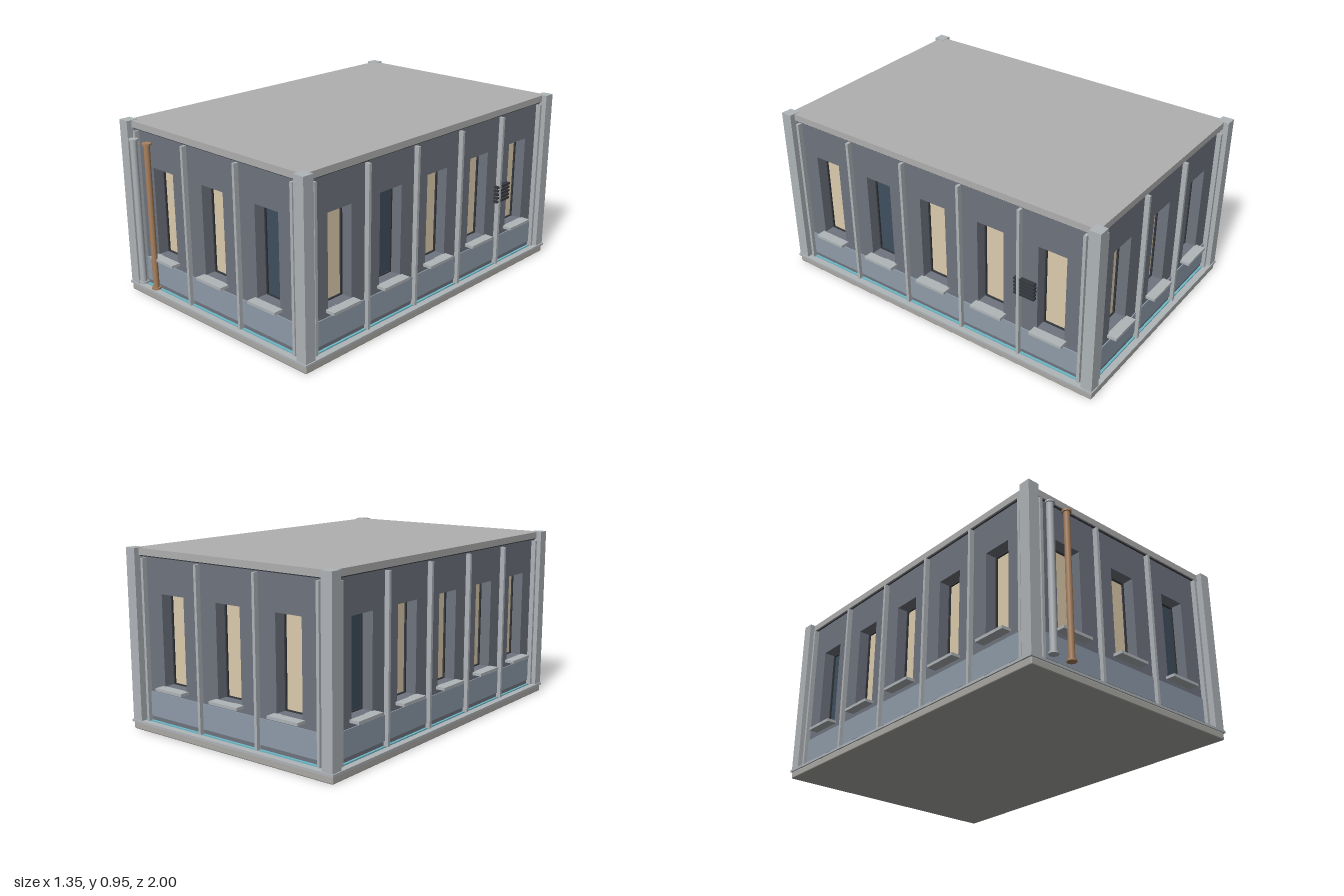
import * as THREE from 'three';
import { RoundedBoxGeometry } from 'three/addons/geometries/RoundedBoxGeometry.js';

const mat = (color) => new THREE.MeshStandardMaterial({ color });
const M = {
  wall: mat(0x6f747f), panel: mat(0x8f9caa), trim: mat(0xb0b5b9), stone: mat(0xabaaa6), roof: mat(0xb0b0b0),
  lit: mat(0xdecdae), dark: mat(0x3f4f5f), frame: mat(0x35383d), strip: mat(0x6fb9c8), copper: mat(0xa9815f),
};

const CZ = -0.011;               // depth centre of the building body
const HX = 0.622, HZ = 0.934;    // half distances to the outer wall faces
const Y0 = 0.05, Y1 = 0.91;      // wall bottom and top
const WIN = { w: 0.157, y0: 0.25, y1: 0.723 };
const DEPTH = 0.07;              // window reveal depth

function add(parent, name, geometry, material, x = 0, y = 0, z = 0) {
  const mesh = new THREE.Mesh(geometry, material);
  mesh.name = name;
  mesh.position.set(x, y, z);
  parent.add(mesh);
  return mesh;
}

// Box given by its extents
function box(parent, name, material, x0, x1, y0, y1, z0, z1) {
  return add(parent, name, new THREE.BoxGeometry(x1 - x0, y1 - y0, z1 - z0), material,
    (x0 + x1) / 2, (y0 + y1) / 2, (z0 + z1) / 2);
}

function rect(Kind, x0, x1, y0, y1) {
  const p = new Kind();
  p.moveTo(x0, y0);
  p.lineTo(x1, y0);
  p.lineTo(x1, y1);
  p.lineTo(x0, y1);
  p.closePath();
  return p;
}

const extrude = (shape, depth) => new THREE.ExtrudeGeometry(shape, { depth, bevelEnabled: false });

// One wall: local x runs left to right seen from outside, local z = 0 is its outer face.
// The pattern has one letter per window: L lit, D dark.
function buildWall(name, half, pitch, pattern) {
  const wall = new THREE.Group();
  wall.name = name;
  const n = pattern.length;
  const centres = [...pattern].map((_, i) => (i - (n - 1) / 2) * pitch);
  const w = WIN.w / 2;

  const shape = rect(THREE.Shape, -half, half, Y0, Y1);
  centres.forEach((c) => shape.holes.push(rect(THREE.Path, c - w, c + w, WIN.y0, WIN.y1)));
  add(wall, 'wallSheet', extrude(shape, DEPTH), M.wall, 0, 0, -DEPTH);

  // Lower panel and the thin coloured strip at its foot
  box(wall, 'lowerPanel', M.panel, -half, half, 0.08, 0.21, -0.01, 0.006);
  box(wall, 'footStrip', M.strip, -half, half, 0.05, 0.057, -0.01, 0.012);

  centres.forEach((c, i) => {
    const window = new THREE.Group();
    window.name = 'window';
    window.position.x = c;
    wall.add(window);
    box(window, 'pane', pattern[i] === 'L' ? M.lit : M.dark, -w, w, WIN.y0, WIN.y1, -DEPTH - 0.005, -DEPTH + 0.003);
    const frame = rect(THREE.Shape, -w, w, WIN.y0, WIN.y1);
    frame.holes.push(rect(THREE.Path, -w + 0.008, w - 0.008, WIN.y0 + 0.006, WIN.y1 - 0.008));
    add(window, 'frame', extrude(frame, 0.012), M.frame, 0, 0, -DEPTH);
    box(window, 'sill', M.trim, -0.093, 0.093, 0.235, 0.25, -0.005, 0.052);
  });

  // Vertical ribs between and beside the windows
  for (let i = 0; i <= n; i++) {
    const x = (i - n / 2) * pitch;
    box(wall, 'rib', M.trim, x - 0.008, x + 0.008, 0.055, 0.897, -0.005, 0.026);
  }
  return wall;
}

// Vertical pipe with a collar at each end
function buildPipe(name, material, x, r) {
  const pipe = new THREE.Group();
  pipe.name = name;
  pipe.position.set(x, 0, 0.975);
  add(pipe, 'pipeShaft', new THREE.CylinderGeometry(r, r, 0.78, 20), material, 0, 0.475, 0);
  for (const y of [0.085, 0.865]) {
    add(pipe, 'pipeCollar', new THREE.CylinderGeometry(0.024, 0.024, 0.01, 20), material, 0, y, 0);
  }
  return pipe;
}

export function createModel() {
  const model = new THREE.Group();
  const body = new THREE.Group();
  body.name = 'building';
  body.position.z = CZ;
  model.add(body);

  // Base slab, ledge and roof slab
  add(body, 'baseSlab', new RoundedBoxGeometry(1.325, 0.04, 1.95, 2, 0.007), M.stone, 0, 0.02, 0);
  box(body, 'baseLedge', M.trim, -0.669, 0.669, 0.038, 0.05, -0.981, 0.981);
  box(body, 'roofSlab', M.roof, -0.635, 0.635, Y1, 0.945, -0.948, 0.948);
  box(body, 'roofShadowGap', M.frame, -0.628, 0.628, 0.904, Y1, -0.941, 0.941);

  // Corner posts
  for (const sx of [-1, 1]) {
    for (const sz of [-1, 1]) {
      add(body, 'cornerPost', new THREE.BoxGeometry(0.062, 0.897, 0.062), M.trim, sx * 0.632, 0.4985, sz * 0.945);
    }
  }

  // Four walls
  const front = buildWall('frontWall', HX, 0.379, 'LLD');
  front.position.z = HZ;
  const back = buildWall('backWall', HX, 0.379, 'LLL');
  back.position.z = -HZ;
  back.rotation.y = Math.PI;
  const side = buildWall('leftWall', HZ, 0.355, 'LDLLL');
  side.position.x = HX;
  side.rotation.y = Math.PI / 2;
  const farSide = buildWall('rightWall', HZ, 0.355, 'DLLLL');
  farSide.position.x = -HX;
  farSide.rotation.y = -Math.PI / 2;
  body.add(front, back, side, farSide);

  // Louvred vent
  const vent = new THREE.Group();
  vent.name = 'vent';
  side.add(vent);
  for (let i = 0; i < 5; i++) {
    const y = 0.425 + i * 0.0205;
    box(vent, 'ventSlat', M.frame, 0.507, 0.624, y - 0.006, y + 0.006, -0.005, 0.024);
  }

  // Downpipes on the front
  model.add(buildPipe('greyPipe', M.trim, -0.54, 0.018), buildPipe('copperPipe', M.copper, -0.43, 0.016));
  return model;
}
